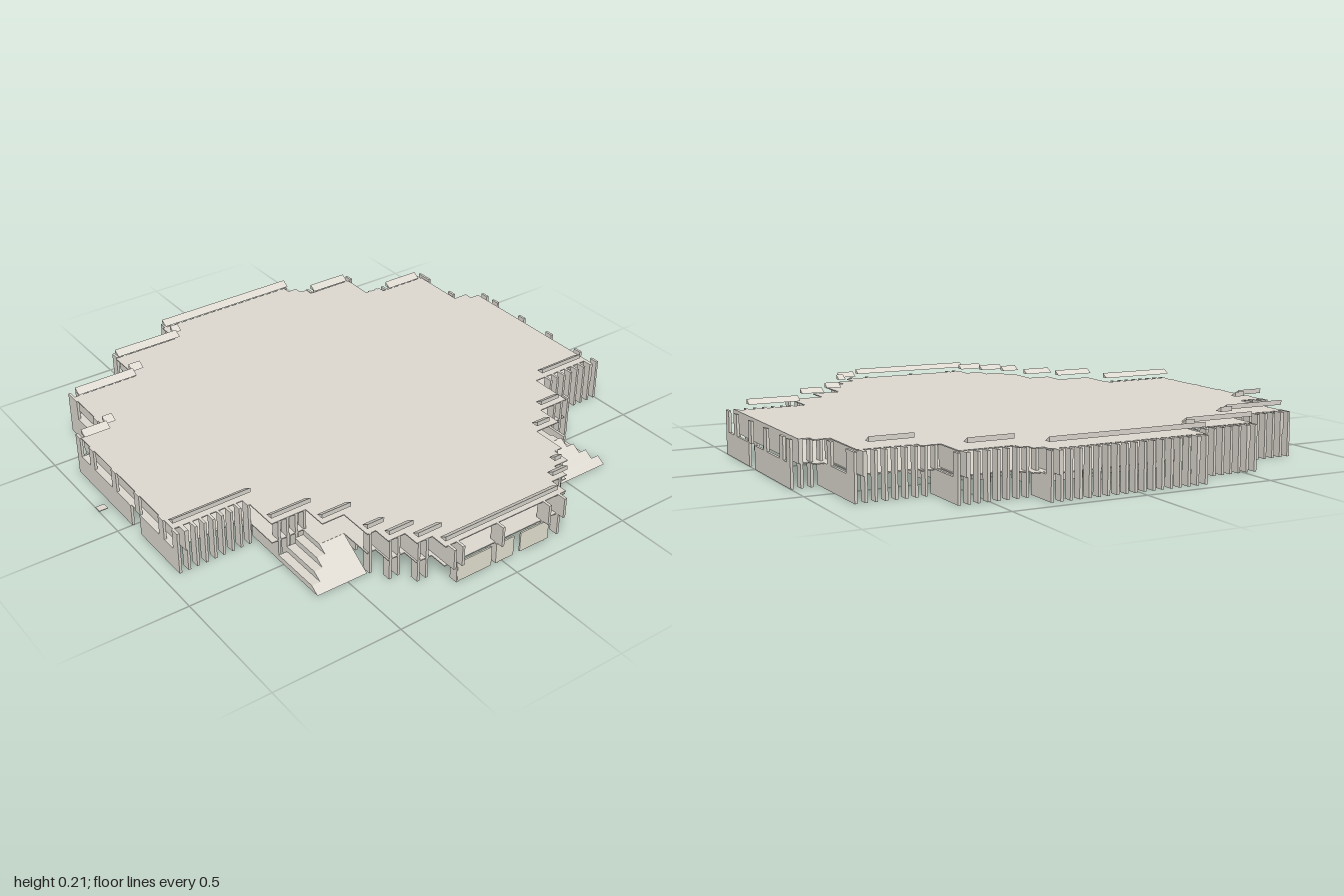
import * as THREE from 'three';
import { mergeGeometries } from 'three/addons/utils/BufferGeometryUtils.js';

const STONE = new THREE.MeshStandardMaterial({ color: 0xdedad1, flatShading: true, side: THREE.DoubleSide });
const CREAM = new THREE.MeshStandardMaterial({ color: 0xe8e6d6, flatShading: true, side: THREE.DoubleSide });
const PITCH = 0.0351, THICK = 0.01, FIN = 0.035;
const FLOOR = 0.087, TOP = 0.168;

// Box given by its limits on each axis
function box(x0, x1, y0, y1, z0, z1) {
  return new THREE.BoxGeometry(x1 - x0, y1 - y0, z1 - z0)
    .translate((x0 + x1) / 2, (y0 + y1) / 2, (z0 + z1) / 2);
}
// Thin panel facing z
const panel = (x0, x1, y0, y1, z) => box(x0, x1, y0, y1, z - THICK / 2, z + THICK / 2);

// Prism along z from a section in x, y
function prism(points, z0, z1) {
  const shape = new THREE.Shape(points.map(p => new THREE.Vector2(...p)));
  return new THREE.ExtrudeGeometry(shape, { depth: z1 - z0, bevelEnabled: false }).translate(0, 0, z0);
}

function part(group, name, geometries, material = STONE) {
  const mesh = new THREE.Mesh(mergeGeometries(geometries), material);
  mesh.name = name;
  group.add(mesh);
}

// Stepped plan of roof and floor as x, z pairs
const PLAN = [
  [-.375, -.97], [.30, -.97], [.30, -.70], [.47, -.70], [.47, -.57], [.57, -.57], [.57, -.46], [.705, -.46],
  [.705, -.425], [.775, -.425], [.775, -.36], [.84, -.36], [.84, -.29], [.91, -.29], [.91, .25], [.84, .25],
  [.84, .315], [.775, .315], [.775, .385], [.705, .385], [.705, .42], [.57, .42], [.57, .51], [.47, .51],
  [.47, .65], [.30, .65], [.30, .935], [-.375, .935], [-.375, .83], [-.645, .83], [-.645, .56], [-.81, .56],
  [-.81, .285], [-.915, .285], [-.915, -.32], [-.88, -.32], [-.88, -.36], [-.845, -.36], [-.845, -.39],
  [-.81, -.39], [-.81, -.59], [-.675, -.59], [-.675, -.66], [-.645, -.66], [-.645, -.87], [-.41, -.87],
  [-.41, -.93], [-.375, -.93],
];
const slab = (top, thickness) => prism(PLAN, 0, thickness).rotateX(Math.PI / 2).translate(0, top, 0);

// Outer wall limits: up to z, left edge x, right edge x
const WALL = [
  [-.91, -.375, .335], [-.72, -.68, .335], [-.61, -.68, .47], [-.46, -.85, .57], [-.425, -.85, .71],
  [-.36, -.85, .775], [-.29, -.95, .84], [.25, -.95, .945], [.29, -.95, .84], [.315, -.85, .84],
  [.385, -.85, .775], [.42, -.85, .71], [.50, -.85, .57], [.57, -.85, .47], [.65, -.68, .47],
  [.84, -.68, .335], [1, -.41, .335],
];
const span = (table, z) => table.find(r => z < r[0]);

// Lower panel, leaving the central doorway open
function lowerPanel(out, x0, x1, z) {
  if (x0 < 0 && x1 > 0.065) {
    out.push(panel(x0, 0, 0, FLOOR, z), panel(0.065, x1, 0, FLOOR, z));
  } else out.push(panel(x0, x1, 0, FLOOR, z));
}

// Upper storey: evenly spaced posts in front of a recessed panel
function upperPanel(out, x0, x1, z, inward) {
  out.push(panel(x0, x1, FLOOR, TOP, z + inward * 0.03));
  out.push(panel(x0, x0 + FIN, FLOOR, TOP, z), panel(x1 - FIN, x1, FLOOR, TOP, z));
  for (let x = -0.815; x < x1 - 2 * FIN; x += 0.17) {
    if (x > x0 + FIN) out.push(panel(x, x + FIN, FLOOR, TOP, z));
  }
}

// Fin at the right end of a row
function rightFin(out, r, k, z) {
  if (r > 0.9) {
    if (![21, 23, 29, 34].includes(k)) return;
    out.push(panel(0.885, 0.92, 0, FLOOR, z), panel(0.885, r, FLOOR, TOP, z));
  } else out.push(panel(r - FIN, r, 0, r === 0.57 ? FLOOR : TOP, z));
}

function outerWalls() {
  const out = [];
  for (let k = 0; k <= 55; k++) {
    const z = -0.995 + k * PITCH;
    const [, l, r] = span(WALL, z);
    out.push(panel(l, l + FIN, 0, TOP, z));
    rightFin(out, r, k, z);
    if (k === 0 || k === 55) {
      lowerPanel(out, l, r, z);
      upperPanel(out, l, r, z, k ? -1 : 1);
      continue;
    }
    // Panels closing each step of the plan
    for (const d of [-1, 1]) {
      const [, nl, nr] = span(WALL, z + d * PITCH);
      if (nl > l + 0.02) {
        lowerPanel(out, l, nl + FIN, z);
        upperPanel(out, l, nl + FIN, z, -d);
      }
      if (nr < r - 0.02 && r < 0.6) lowerPanel(out, nr - FIN, r, z);
      if (nr < r - 0.02 && r > 0.72) out.push(panel(nr - FIN, r, FLOOR, TOP, z));
    }
  }
  return out;
}

// Inner ring half-widths by distance from the centre line
const RING = [[.28, .66], [.38, .58], [.48, .50], [.56, .42], [.645, .28]];
function innerRing() {
  const out = [];
  for (let k = 0; k <= 55; k++) {
    const z = -0.995 + k * PITCH, row = span(RING, Math.abs(z));
    if (!row) continue;
    const next = span(RING, Math.abs(z) + PITCH), w = row[1];
    if (!next) { lowerPanel(out, -w, w, z); continue; }
    const reach = w - next[1] + FIN;
    out.push(panel(-w, -w + reach, 0, FLOOR, z), panel(w - reach, w, 0, FLOOR, z));
  }
  return out;
}

// Corner stair: treads rising inward, closed by a slope on the right
function stair(sign, inner, outer, slopeExtra) {
  const out = [], n = 4, rise = FLOOR / n;
  for (let i = 0; i < n; i++) {
    const y0 = i * rise, y1 = y0 + rise, x0 = 0.705 - i * 0.034, x1 = x0 - 0.034;
    const edge = outer - i * 0.034;
    const range = far => [sign * inner, sign * far].sort((a, b) => a - b);
    out.push(prism([[0.47, y0], [x1, y0], [x1, y1], [0.47, y1]], ...range(edge)));
    out.push(prism([[x1, y0], [x0, y0], [x1, y1]], ...range(edge + slopeExtra)));
  }
  return out;
}

// Edge wedges above the roof: x, z start, z end
const WEDGES = [
  [-.915, -.32, .285], [-.81, -.56, -.39], [-.645, -.83, -.67], [-.85, .25, .285], [-.81, .28, .56],
  [-.68, .52, .57], [-.645, .57, .82], [-.405, .79, .83], [-.37, .83, .935], [.27, -.93, -.73],
  [.27, .625, .935], [.44, .49, .65], [.54, .39, .51], [.675, .35, .42], [.745, .28, .38], [.81, .21, .31],
  [.88, -.25, .25], [.44, -.66, -.57], [.54, -.52, -.46], [.745, -.39, -.36], [.81, -.36, -.29],
];
const wedge = ([x, z0, z1]) =>
  prism([[x, 0.19], [x + 0.03, 0.19], [x < 0 ? x : x + 0.03, 0.208]], z0, z1);

export function createModel() {
  const model = new THREE.Group();
  model.name = 'pavilion';
  part(model, 'roof', [slab(TOP, 0.004)]);
  part(model, 'upperFloor', [slab(FLOOR, 0.004)]);
  part(model, 'outerWalls', outerWalls());
  part(model, 'innerRing', innerRing());
  part(model, 'roofWedges', WEDGES.map(wedge));
  part(model, 'frontStair', stair(1, 0.42, 0.625, 0));
  part(model, 'backStair', stair(-1, 0.46, 0.66, 0.034));

  // Four slatted columns under the floor
  const columns = [];
  for (const x of [-0.17, 0.17]) for (const z of [-0.17, 0.17])
    for (const d of [-1, 0, 1]) columns.push(panel(x - 0.035, x + 0.035, 0, FLOOR, z + d * PITCH));
  part(model, 'columns', columns);

  // Glazing on the right side
  part(model, 'sideWindows', [[-.21, -.08], [-.05, .03], [.05, .20]]
    .map(([a, b]) => box(0.915, 0.921, 0.003, FLOOR - 0.004, a, b)), CREAM);
  part(model, 'paver', [box(-0.17, -0.14, 0, 0.003, 0.965, 1)]);
  return model;
}
